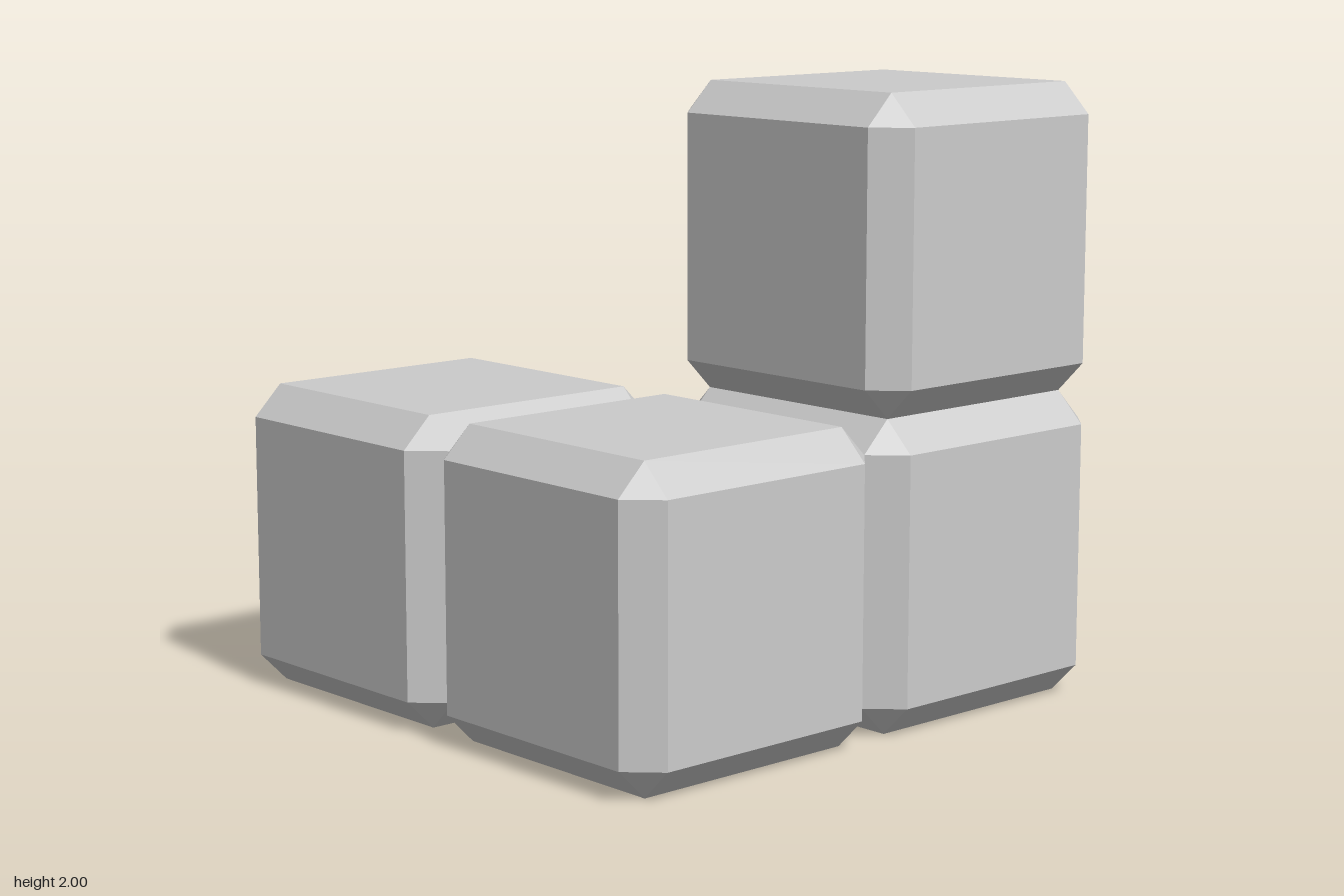
import * as THREE from 'three';
import { ConvexGeometry } from 'three/addons/geometries/ConvexGeometry.js';

// Unit cube with 45 degree chamfered edges and triangular corners
function chamferedCube(half, bevel) {
  const inner = half - bevel;
  const points = [];
  for (const x of [-1, 1]) for (const y of [-1, 1]) for (const z of [-1, 1]) {
    points.push(
      new THREE.Vector3(x * half, y * inner, z * inner),
      new THREE.Vector3(x * inner, y * half, z * inner),
      new THREE.Vector3(x * inner, y * inner, z * half),
    );
  }
  return new ConvexGeometry(points);
}

export function createModel() {
  const model = new THREE.Group();
  model.name = 'cubePuzzlePiece';
  const material = new THREE.MeshStandardMaterial({ color: 0xcccccc, flatShading: true });
  const geometry = chamferedCube(0.5, 0.1);

  // Four cubes joined face to face in a twisted chain
  const cubes = {
    topCube: [0.5, 1.5, 0.5],
    frontLeftCube: [0.5, 0.5, 0.5],
    frontRightCube: [-0.5, 0.5, 0.5],
    backRightCube: [-0.5, 0.5, -0.5],
  };
  for (const [name, position] of Object.entries(cubes)) {
    const cube = new THREE.Mesh(geometry, material);
    cube.name = name;
    cube.position.set(...position);
    model.add(cube);
  }
  return model;
}
